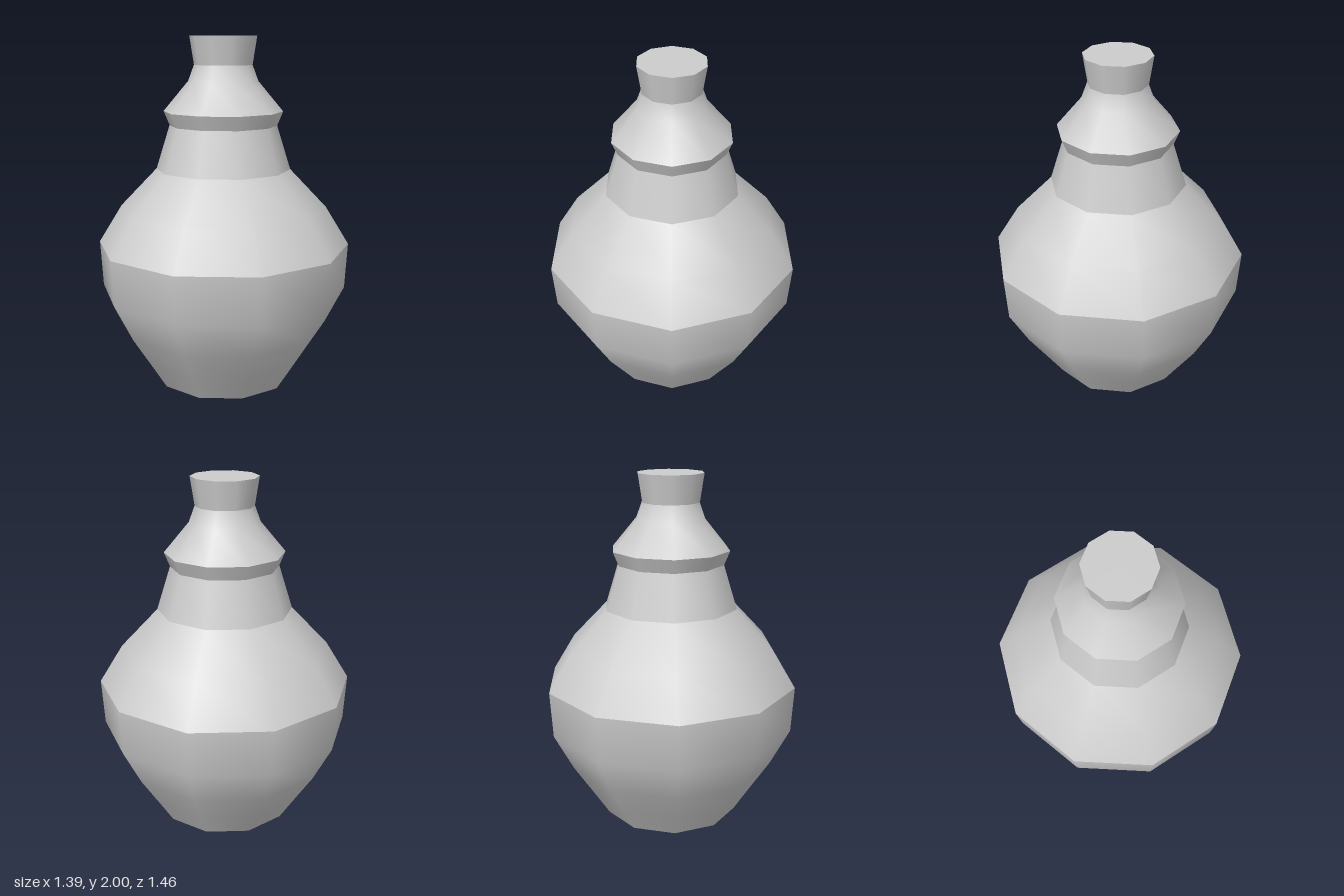
import * as THREE from 'three';

const SIDES = 10;

// Each section is smooth inside and meets its neighbours at a crisp edge: [radius, height]
const SECTIONS = {
  base: [[0, 0], [0.395, 0]],
  lowerBody: [[0.395, 0], [0.49, 0.15], [0.605, 0.33], [0.715, 0.545], [0.73, 0.81]],
  shoulder: [[0.73, 0.81], [0.595, 1.03], [0.385, 1.25]],
  neck: [[0.385, 1.25], [0.307, 1.5]],
  collarUnderside: [[0.307, 1.5], [0.34, 1.58]],
  collarTop: [[0.34, 1.58], [0.198, 1.75], [0.165, 1.84]],
  stopper: [[0.165, 1.84], [0.19, 2]],
  stopperTop: [[0.19, 2], [0, 2]],
};

export function createModel() {
  const bottle = new THREE.Group();
  bottle.name = 'bottle';
  const material = new THREE.MeshStandardMaterial({ color: 0xcccccc });

  // Turn every section around the y axis, with a corner facing the front
  for (const [name, profile] of Object.entries(SECTIONS)) {
    const points = profile.map(([r, y]) => new THREE.Vector2(r, y));
    const mesh = new THREE.Mesh(new THREE.LatheGeometry(points, SIDES), material);
    mesh.name = name;
    bottle.add(mesh);
  }
  return bottle;
}
